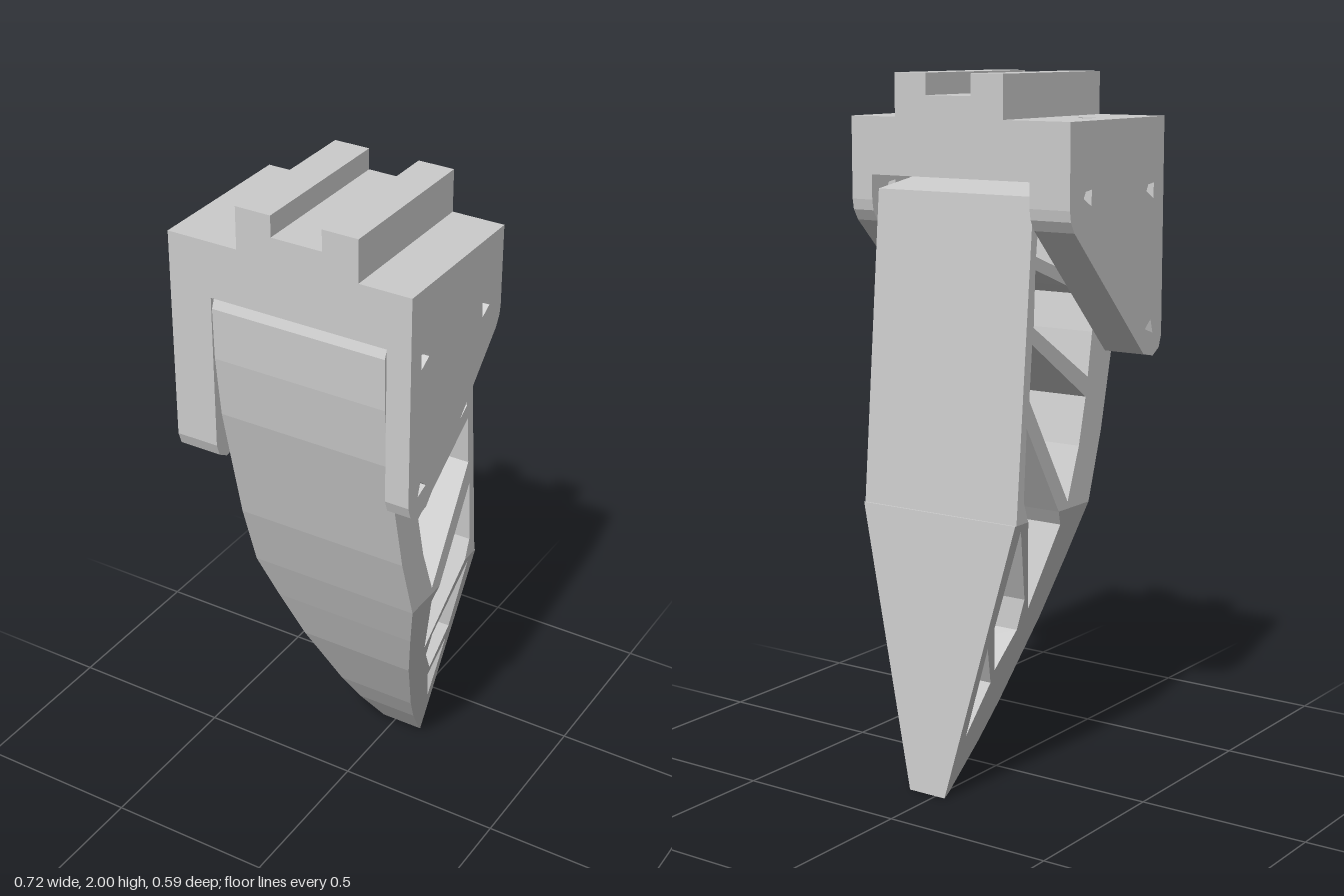
import * as THREE from 'three';

// Outline and holes wind the same way, so hole walls face into the openings.
function path(points) {
  const v = points.map(([a, b]) => new THREE.Vector2(a, b));
  return THREE.ShapeUtils.isClockWise(v) ? v.reverse() : v;
}

function makeShape(outline, holes) {
  const shape = new THREE.Shape(path(outline));
  for (const h of holes) shape.holes.push(new THREE.Path(path(h)));
  return shape;
}

// Side profile given as (z, y), extruded across from x0 to x1.
function sideExtrude(outline, holes, x0, x1) {
  const g = new THREE.ExtrudeGeometry(makeShape(outline, holes), { depth: x1 - x0, bevelEnabled: false });
  g.rotateY(-Math.PI / 2);
  g.translate(x1, 0, 0);
  return g;
}

export function createModel() {
  const group = new THREE.Group();
  const grey = new THREE.MeshStandardMaterial({ color: 0xcccccc });
  grey.name = 'light grey';

  function add(name, geometry) {
    const mesh = new THREE.Mesh(geometry, grey);
    mesh.name = name;
    group.add(mesh);
  }
  function addBox(name, x0, x1, y0, y1, z0, z1) {
    const g = new THREE.BoxGeometry(x1 - x0, y1 - y0, z1 - z0);
    g.translate((x0 + x1) / 2, (y0 + y1) / 2, (z0 + z1) / 2);
    add(name, g);
  }

  const front = 0.295, back = -0.183;
  const inL = -0.235, inR = 0.292; // inner faces of the cheeks

  // Mount cheeks with pin holes
  const cheek = [
    [front, 1.78], [front, 1.27], [0.283, 1.235], [0.25, 1.215], [0.2, 1.225],
    [-0.16, 1.59], [-0.178, 1.62], [back, 1.65], [back, 1.78],
  ];
  const pin = (z, y) => [[z + 0.018, y + 0.022], [z - 0.012, y + 0.018], [z - 0.022, y], [z + 0.016, y - 0.022]];
  const tri = [[0.235, 1.32], [0.205, 1.295], [0.247, 1.28]];
  const pins = [pin(0.225, 1.678), pin(-0.095, 1.678), tri];
  add('rightCheek', sideExtrude(cheek, pins, -0.362, inL));
  add('leftCheek', sideExtrude(cheek, pins, inR, 0.362));

  // Mount bridge and top slab with one vertical hole
  addBox('mountBridge', inL, inR, 1.72, 1.78, back, front);
  const slab = new THREE.ExtrudeGeometry(
    makeShape(
      [[-0.362, -front], [0.362, -front], [0.362, -back], [-0.362, -back]],
      [[[-0.283, -0.024], [-0.24, -0.028], [-0.237, -0.07], [-0.29, -0.076]]],
    ),
    { depth: 0.1, bevelEnabled: false },
  );
  slab.rotateX(-Math.PI / 2);
  slab.translate(0, 1.78, 0);
  add('mountSlab', slab);

  // Slide rails
  addBox('rightRail', -0.15, -0.045, 1.88, 2, back, front);
  addBox('railBase', -0.045, 0.105, 1.88, 1.94, back, front);
  addBox('leftRail', 0.105, 0.21, 1.88, 2, back, front);

  // Finger: straight upper half, ribs left between the openings
  const fL = -0.231, fR = 0.288, split = 0.8;
  const upper = [
    [0.285, 1.72], [0.297, 1.69], [0.293, 1.54], [0.272, 1.36], [0.238, 1.21],
    [0.19, 1.0], [0.127, split],
    [-0.027, split], [-0.187, 1.06], [-0.2, 0.86], [-0.178, split],
    [-0.235, split], [-0.165, 1.6], [-0.158, 1.68], [0.1, 1.72],
  ];
  const upperHoles = [
    [[-0.138, 1.58], [0.19, 1.58], [0.17, 1.43], [0, 1.468], [-0.145, 1.52]],
    [[-0.148, 1.485], [0, 1.43], [0.162, 1.385], [0.138, 1.285], [0.117, 1.16], [-0.155, 1.33]],
    [[0.107, 1.105], [-0.162, 1.285], [-0.175, 1.135], [0.018, 0.82], [0.074, 0.97]],
  ];
  add('upperFinger', sideExtrude(upper, upperHoles, fL, fR));

  // Finger: lower half, narrowing evenly towards the tip
  const lower = [
    [0.127, split], [0.07, 0.65], [0, 0.48], [-0.055, 0.375], [-0.12, 0.25],
    [-0.185, 0.145], [-0.28, 0.015], [-0.297, 0], [-0.241, split],
    [-0.178, split], [-0.075, 0.52], [-0.002, 0.757], [-0.027, split],
  ];
  const lowerHoles = [
    [[-0.105, 0.555], [-0.206, 0.78], [-0.231, 0.5], [-0.182, 0.36], [-0.11, 0.465]],
    [[-0.188, 0.325], [-0.242, 0.44], [-0.256, 0.18]],
  ];
  const tip = sideExtrude(lower, lowerHoles, fL, fR);
  const p = tip.attributes.position;
  for (let i = 0; i < p.count; i++) {
    const t = (split - p.getY(i)) / split;
    p.setX(i, p.getX(i) < 0 ? fL + 0.2 * t : fR - 0.198 * t);
  }
  tip.computeVertexNormals();
  add('lowerFinger', tip);

  return group;
}
